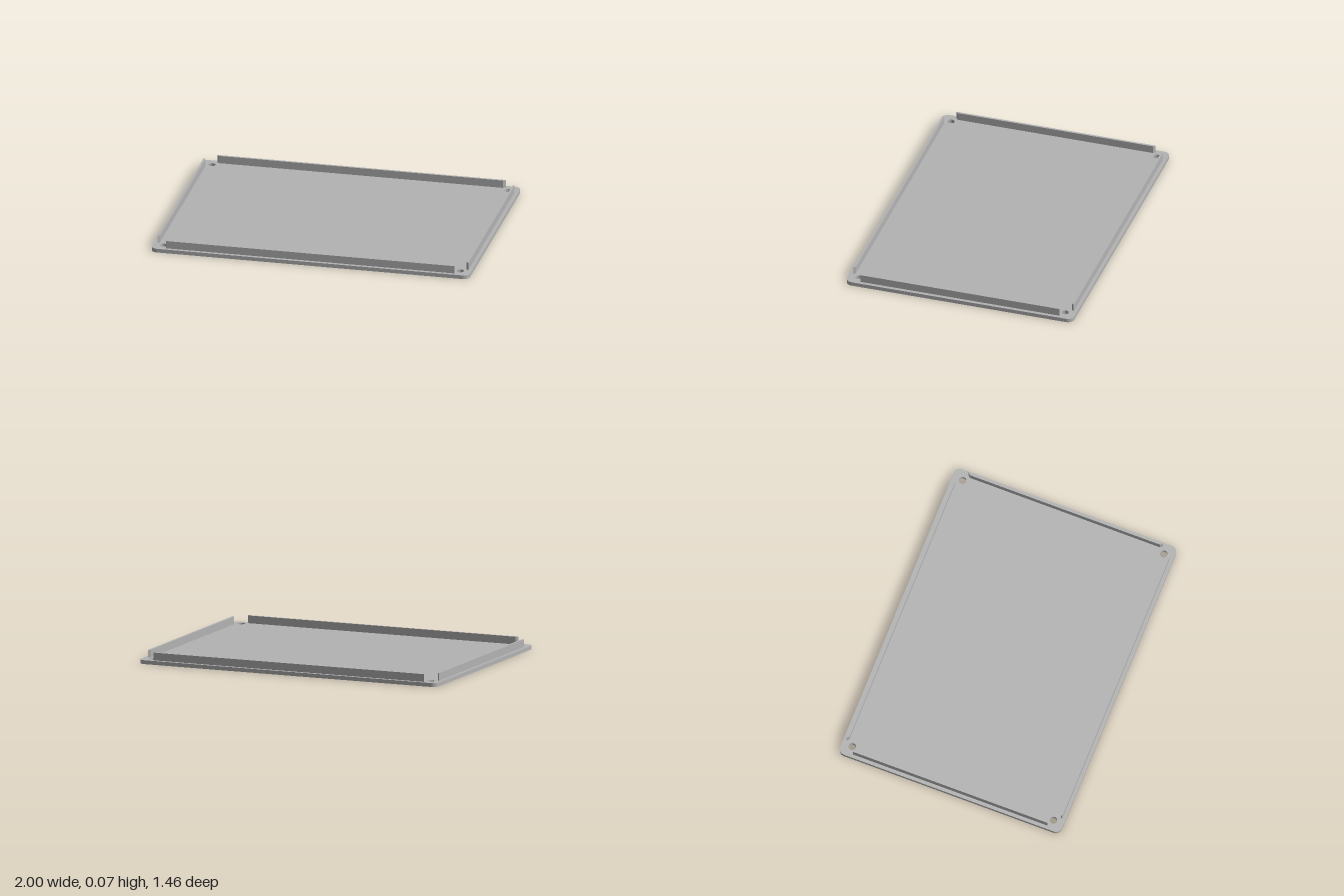
import * as THREE from 'three';

const PLATE_TOP = 0.024;

// Extrude a plan outline straight up from the ground plane
function extrudeUp(shape, height) {
  const geometry = new THREE.ExtrudeGeometry(shape, { depth: height, bevelEnabled: false, curveSegments: 10 });
  return geometry.rotateX(-Math.PI / 2);
}

// Rounded rectangle with a screw hole at each corner
function plateShape(hw, hd, r) {
  const shape = new THREE.Shape();
  shape.absarc(hw - r, hd - r, r, 0, Math.PI / 2);
  shape.absarc(-hw + r, hd - r, r, Math.PI / 2, Math.PI);
  shape.absarc(-hw + r, -hd + r, r, Math.PI, Math.PI * 1.5);
  shape.absarc(hw - r, -hd + r, r, Math.PI * 1.5, Math.PI * 2);
  shape.closePath();
  for (const sx of [-1, 1]) {
    for (const sz of [-1, 1]) {
      const hole = new THREE.Path();
      hole.absarc(sx * 0.932, sz * 0.662, 0.023, 0, Math.PI * 2, true);
      shape.holes.push(hole);
    }
  }
  return shape;
}

// Thin upright lip with mitred ends, longer on its outer face
function lipGeometry(halfLength, thickness, height) {
  const shape = new THREE.Shape([
    new THREE.Vector2(-halfLength, -thickness / 2),
    new THREE.Vector2(halfLength, -thickness / 2),
    new THREE.Vector2(halfLength - thickness, thickness / 2),
    new THREE.Vector2(-halfLength + thickness, thickness / 2),
  ]);
  return extrudeUp(shape, height);
}

export function createModel() {
  const group = new THREE.Group();
  const grey = new THREE.MeshStandardMaterial({ color: 0xb3b3b3 });
  grey.name = 'grey';

  const add = (name, geometry) => {
    const mesh = new THREE.Mesh(geometry, grey);
    mesh.name = name;
    group.add(mesh);
    return mesh;
  };

  // Cover plate
  add('coverPlate', extrudeUp(plateShape(1, 0.73, 0.04), PLATE_TOP));

  // Four lips around the edge: name, turn, distance from centre, half length
  const lips = [
    ['frontLip', 0, 0.702, 0.907],
    ['leftLip', Math.PI / 2, 0.971, 0.64],
    ['backLip', Math.PI, 0.702, 0.907],
    ['rightLip', -Math.PI / 2, 0.971, 0.64],
  ];
  for (const [name, turn, distance, halfLength] of lips) {
    const lip = add(name, lipGeometry(halfLength, 0.014, 0.072 - PLATE_TOP));
    lip.rotation.y = turn;
    lip.position.set(Math.sin(turn) * distance, PLATE_TOP, Math.cos(turn) * distance);
  }

  return group;
}
